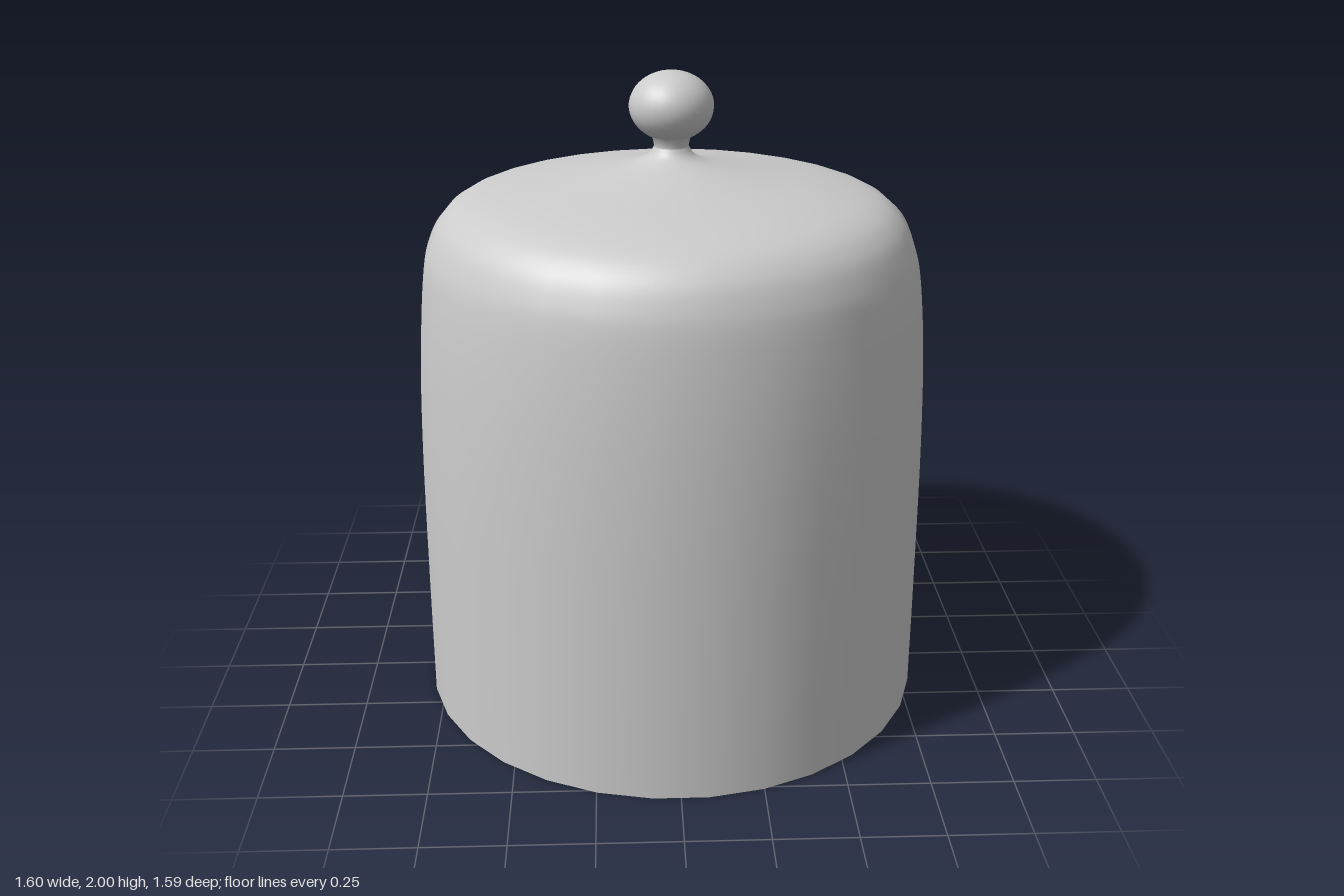
import * as THREE from 'three';

const SIDES = 30;
const vec = (pts) => pts.map(([r, y]) => new THREE.Vector2(r, y));

// Smooth profile through a few points (radius, height)
function smooth(pts, n) {
  const out = new THREE.SplineCurve(vec(pts)).getPoints(n);
  out.forEach((p) => { p.x = Math.max(p.x, 0); });
  return out;
}

function turned(name, profile) {
  const mesh = new THREE.Mesh(
    new THREE.LatheGeometry(profile, SIDES, Math.PI / 2),
    new THREE.MeshStandardMaterial({ color: 0xcccccc })
  );
  mesh.name = name;
  return mesh;
}

export function createModel() {
  const group = new THREE.Group();
  group.name = 'bellJar';

  // Outer wall, shoulder and neck
  const outer = smooth([
    [0.8, 0], [0.8, 0.4], [0.797, 0.85], [0.786, 1.17], [0.765, 1.4],
    [0.74, 1.5], [0.7, 1.57], [0.63, 1.62], [0.5, 1.655], [0.3, 1.688],
    [0.14, 1.72], [0.075, 1.745], [0.052, 1.775],
  ], 60);

  // Slightly flattened ball knob, continuing from the neck
  const knob = [];
  const start = -1.1;
  for (let i = 0; i <= 18; i++) {
    const a = start + (Math.PI / 2 - start) * (i / 18);
    knob.push(new THREE.Vector2(i === 18 ? 0 : 0.128 * Math.cos(a), 1.895 + 0.105 * Math.sin(a)));
  }
  group.add(turned('outerShellAndKnob', [...outer, ...knob]));

  // Hollow inside, running from the ceiling down to the opening
  group.add(turned('innerShell', smooth([
    [0, 1.665], [0.25, 1.65], [0.48, 1.618], [0.61, 1.582], [0.67, 1.54],
    [0.708, 1.48], [0.73, 1.39], [0.75, 1.17], [0.762, 0.85], [0.765, 0.4], [0.765, 0],
  ], 44)));

  // Flat rim around the opening
  group.add(turned('rim', vec([[0.765, 0], [0.8, 0]])));

  return group;
}
